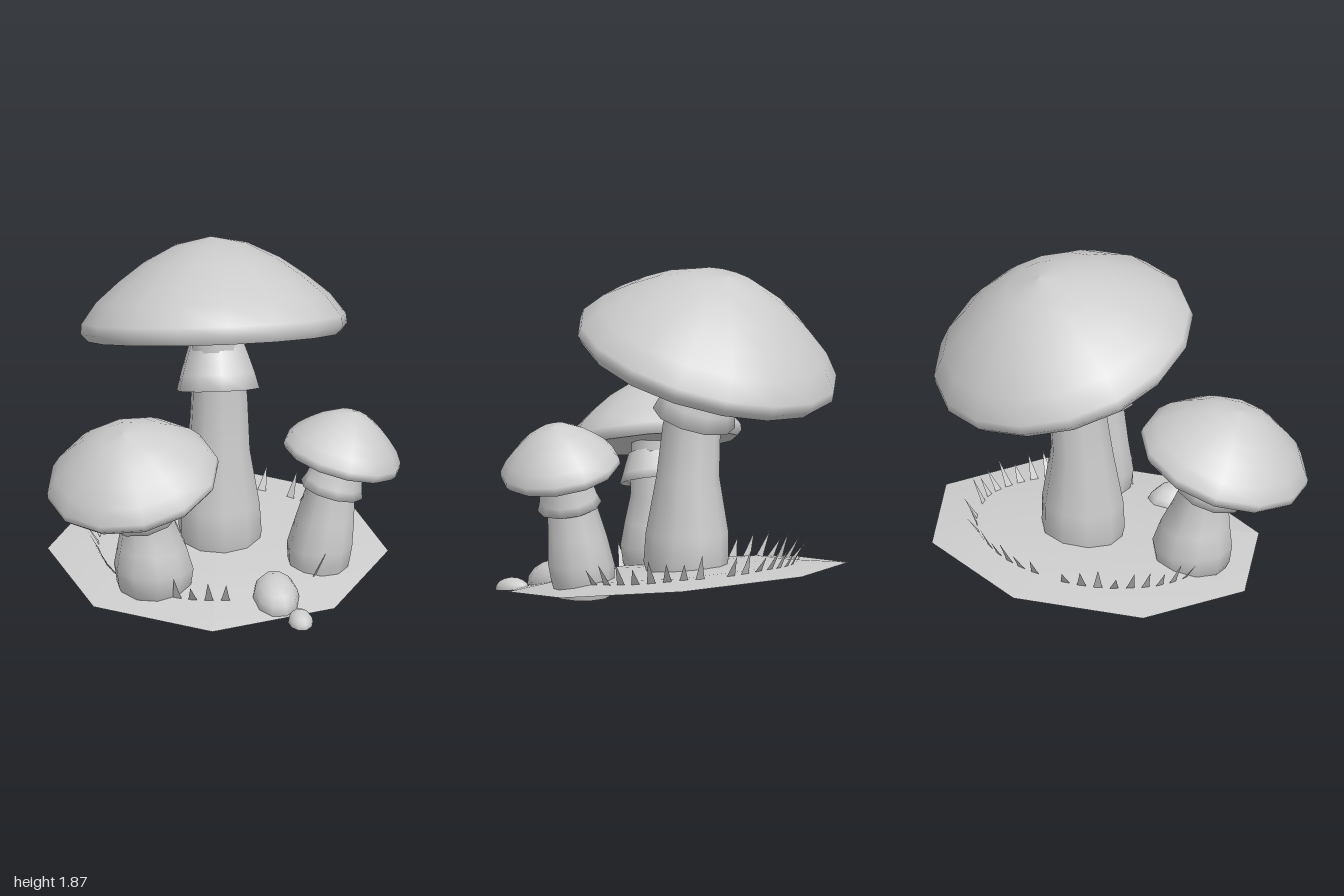
import * as THREE from 'three';

const clay = new THREE.MeshStandardMaterial({ color: 0xcccccc, side: THREE.DoubleSide });
clay.name = 'pale grey';

const UP = new THREE.Vector3(0, 1, 0);
const GROUND = { x: 0.01, z: -0.035, r: 0.945 };
const groundPlane = (x, z) => 0.115 - 0.122 * z + 0.023 * x;

function part(name, geometry, parent) {
  const mesh = new THREE.Mesh(geometry, clay);
  mesh.name = name;
  parent.add(mesh);
  return mesh;
}

const lathe = (points, sides) =>
  new THREE.LatheGeometry(points.map(([r, y]) => new THREE.Vector2(r, y)), sides);

// Stem: a turned profile whose rings are slid along a leaning centre line
function stemGeometry(rings, sides) {
  const geo = lathe(rings.map(([, y, , r]) => [r, y]), sides);
  const pos = geo.attributes.position;
  for (let i = 0; i < pos.count; i++) {
    const [x, , z] = rings[i % rings.length];
    pos.setX(i, pos.getX(i) + x);
    pos.setZ(i, pos.getZ(i) + z);
  }
  return geo;
}

// Cap outlines for a rim radius of 0.74
const CAP_TOP = [[0.70, 0], [0.74, 0.045], [0.735, 0.10], [0.65, 0.215], [0.52, 0.325],
  [0.38, 0.425], [0.2, 0.515], [0, 0.555]];
const CAP_UNDER = [[0, 0.02], [0.35, 0.015], [0.70, 0]];

function mushroom(name, spec, parent) {
  const group = new THREE.Group();
  group.name = name;
  parent.add(group);
  part('stem', stemGeometry(spec.stem, 10), group);

  const tilt = new THREE.Quaternion().setFromUnitVectors(
    UP, new THREE.Vector3(...spec.normal).normalize());

  // Flared ring under the cap
  const { at, r, h, top } = spec.collar;
  const skirt = part('collar', lathe([[r * 0.8, 0.015], [r, 0], [r * 0.9, h * 0.3],
    [(r + top) * 0.48, h * 0.62], [top, h]], 10), group);
  skirt.position.set(...at);
  skirt.quaternion.copy(tilt);

  // Cap and its flat underside
  const cap = new THREE.Group();
  cap.name = 'cap';
  const s = spec.cap.r / 0.74;
  cap.scale.set(s, s * (spec.cap.tall || 1), s);
  cap.position.set(...spec.cap.at);
  cap.quaternion.copy(tilt);
  group.add(cap);
  part('capTop', lathe(CAP_TOP, spec.cap.sides), cap);
  part('capUnderside', lathe(CAP_UNDER, spec.cap.sides), cap);
}

// Ground: a shallow eight-sided dome on a slope
function groundGeometry() {
  const geo = lathe([[GROUND.r, 0], [0.62, 0.045], [0.3, 0.055], [0, 0.058]], 8);
  geo.rotateY(-0.148);
  const pos = geo.attributes.position;
  for (let i = 0; i < pos.count; i++) {
    const x = pos.getX(i) + GROUND.x, z = pos.getZ(i) + GROUND.z;
    pos.setXYZ(i, x, pos.getY(i) + groundPlane(x, z), z);
  }
  geo.computeVertexNormals();
  return geo;
}

// Grass: a broken ring of flat pointed blades leaning outwards
function grassGeometry() {
  const verts = [];
  for (let i = 0; i < 40; i++) {
    if (i === 5 || i === 17 || i === 27) continue;
    const a = THREE.MathUtils.degToRad(93 + i * 7.9);
    const c = Math.cos(a), s = Math.sin(a);
    const radius = 0.655, half = 0.026;
    const tall = 0.125 + 0.025 * Math.sin(i * 2.3);
    const lean = 0.075 + 0.015 * Math.sin(i * 1.7);
    const x = GROUND.x + c * radius, z = GROUND.z + s * radius;
    const y = groundPlane(x, z) + 0.03;
    verts.push(x - s * half, y, z + c * half);
    verts.push(x + s * half, y, z - c * half);
    verts.push(x + c * lean, y + tall, z + s * lean);
  }
  const geo = new THREE.BufferGeometry();
  geo.setAttribute('position', new THREE.Float32BufferAttribute(verts, 3));
  geo.computeVertexNormals();
  return geo;
}

// Stone: an open half ellipsoid
function stone(name, at, size, pitch, parent) {
  const mesh = part(name, new THREE.SphereGeometry(1, 10, 4, 0, Math.PI * 2, 0, Math.PI / 2), parent);
  mesh.position.set(...at);
  mesh.scale.set(...size);
  mesh.rotation.x = pitch;
}

export function createModel() {
  const model = new THREE.Group();
  model.name = 'mushroomPatch';

  part('ground', groundGeometry(), model);
  part('grass', grassGeometry(), model);

  mushroom('tallMushroom', {
    stem: [[0.03, 0.1, -0.1, 0.205], [0.03, 0.22, -0.1, 0.235], [0.025, 0.38, -0.105, 0.23],
      [0.025, 0.7, -0.11, 0.175], [0.03, 1.0, -0.14, 0.16], [0.015, 1.38, -0.22, 0.14]],
    normal: [0, 0.952, -0.306],
    collar: { at: [0.025, 1.03, -0.15], r: 0.235, h: 0.3, top: 0.14 },
    cap: { at: [0.01, 1.32, -0.21], r: 0.745, sides: 16 },
  }, model);

  mushroom('rightMushroom', {
    stem: [[-0.395, 0.03, 0.37, 0.17], [-0.395, 0.1, 0.37, 0.21], [-0.395, 0.2, 0.37, 0.225],
      [-0.405, 0.33, 0.385, 0.195], [-0.425, 0.47, 0.41, 0.155], [-0.51, 0.78, 0.49, 0.13]],
    normal: [-0.2, 1, 0.25],
    collar: { at: [-0.465, 0.54, 0.45], r: 0.205, h: 0.17, top: 0.14 },
    cap: { at: [-0.52, 0.74, 0.495], r: 0.485, sides: 12 },
  }, model);

  mushroom('leftMushroom', {
    stem: [[0.54, 0.06, 0.24, 0.15], [0.54, 0.15, 0.24, 0.175], [0.545, 0.24, 0.245, 0.185],
      [0.575, 0.4, 0.25, 0.165], [0.6, 0.56, 0.265, 0.14], [0.64, 0.8, 0.29, 0.125]],
    normal: [0.27, 1, 0],
    collar: { at: [0.61, 0.575, 0.28], r: 0.18, h: 0.16, top: 0.135 },
    cap: { at: [0.655, 0.76, 0.305], r: 0.337, sides: 12, tall: 1.17 },
  }, model);

  stone('largeStone', [0.26, 0.07, 0.6], [0.13, 0.125, 0.2], 0.2, model);
  stone('smallStone', [0.37, 0.015, 0.84], [0.07, 0.065, 0.105], 0.12, model);

  return model;
}
